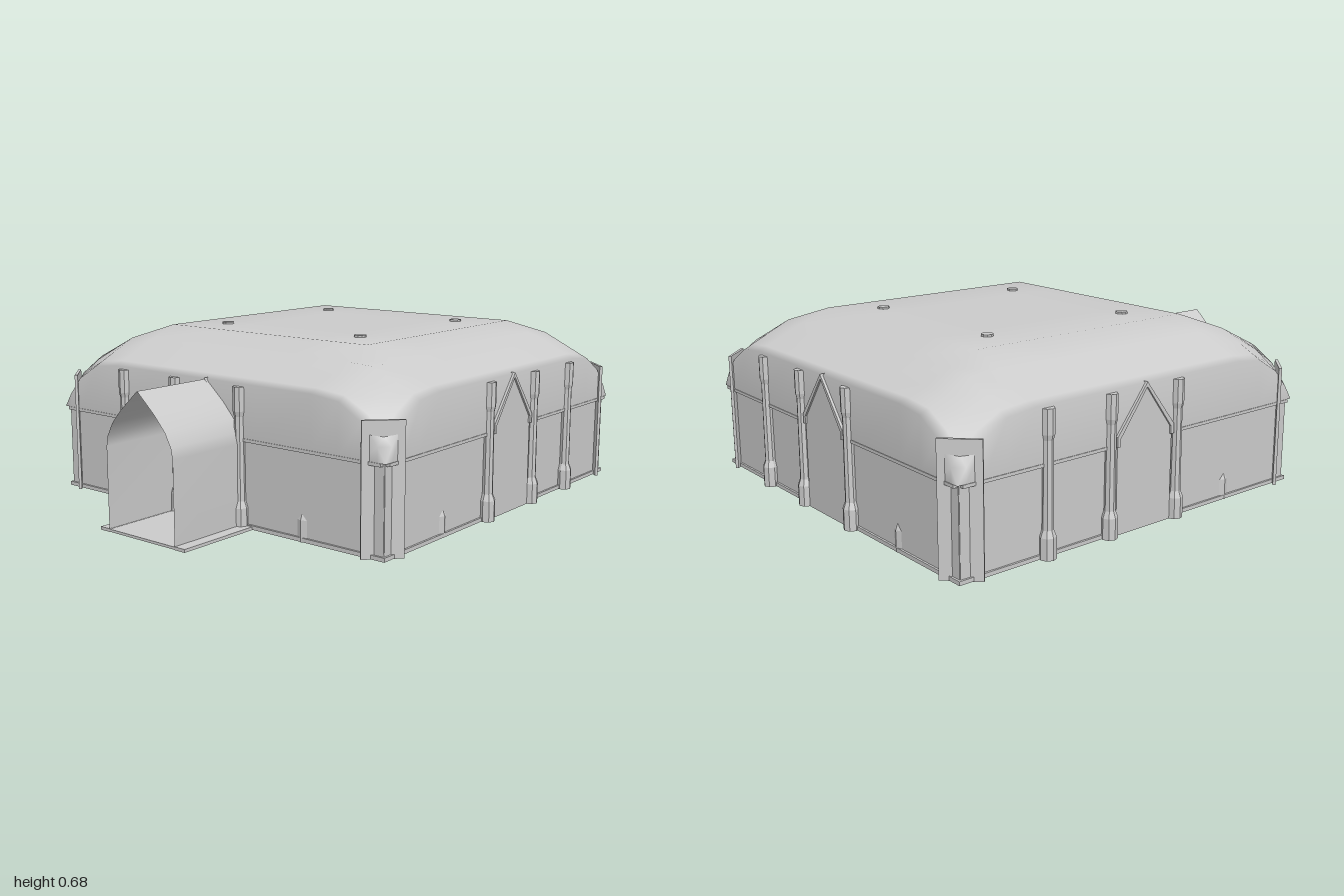
import * as THREE from 'three';
import { mergeVertices } from 'three/addons/utils/BufferGeometryUtils.js';

const smooth = new THREE.MeshStandardMaterial({ color: 0xcccccc, side: THREE.DoubleSide });
const flat = new THREE.MeshStandardMaterial({ color: 0xcccccc, side: THREE.DoubleSide, flatShading: true });

function add(parent, name, geometry, material = flat, x = 0, y = 0, z = 0) {
  const mesh = new THREE.Mesh(geometry, material);
  mesh.name = name;
  mesh.position.set(x, y, z);
  parent.add(mesh);
  return mesh;
}

const R = 0.82;      // half width of the hall
const EAVE = 0.34;   // height where the vault starts

// Square vault: flat crown, sloping sides, arched wall heads and dropped corners
function vaultGeometry() {
  const steps = [0, 0.25, 0.5, 0.62, 0.72, 0.785, R];
  const coords = [...steps.slice(1).reverse().map(v => -v), ...steps];
  const slope = u => Math.max(0, (u - 0.51) / (R - 0.51));
  const height = (x, z) => {
    const a = slope(Math.abs(x)), b = slope(Math.abs(z));
    const lo = Math.min(a, b), hi = Math.max(a, b);
    return 0.675 - 0.135 * hi - 0.2 * hi * Math.pow(lo, 2.6);
  };
  const pos = [], quad = (a, b, c, d) => pos.push(...a, ...b, ...c, ...a, ...c, ...d);
  const top = (x, z) => [x, height(x, z), z];
  const n = coords.length - 1;
  for (let i = 0; i < n; i++) {
    const p = coords[i], q = coords[i + 1];
    for (let j = 0; j < n; j++) {
      const s = coords[j], t = coords[j + 1];
      quad(top(p, s), top(p, t), top(q, t), top(q, s));
    }
    // upright wall heads below the arched edge
    quad([p, EAVE, R], [q, EAVE, R], top(q, R), top(p, R));
    quad([q, EAVE, -R], [p, EAVE, -R], top(p, -R), top(q, -R));
    quad([R, EAVE, q], [R, EAVE, p], top(R, p), top(R, q));
    quad([-R, EAVE, p], [-R, EAVE, q], top(-R, q), top(-R, p));
  }
  const g = new THREE.BufferGeometry();
  g.setAttribute('position', new THREE.Float32BufferAttribute(pos, 3));
  const merged = mergeVertices(g, 1e-4);
  merged.computeVertexNormals();
  return merged;
}

// Column with a flared base and a slightly wider head
function columnGeometry() {
  const profile = [[0, 0], [0.031, 0], [0.031, 0.08], [0.021, 0.105], [0.019, 0.42], [0.024, 0.44], [0.024, 0.53], [0, 0.53]];
  return new THREE.LatheGeometry(profile.map(p => new THREE.Vector2(...p)), 8);
}

function extrude(points, depth) {
  const shape = new THREE.Shape(points.map(p => new THREE.Vector2(...p)));
  return new THREE.ExtrudeGeometry(shape, { depth, bevelEnabled: false });
}

// One side of the hall, facing +z; sunk is the column buried in the wall
function side(sunk) {
  const g = new THREE.Group();
  g.name = 'wallSide';
  for (const x of [-0.45, -0.165, 0.165, 0.45]) {
    add(g, 'column', columnGeometry(), flat, x, 0, x === sunk ? 0.785 : R);
  }
  add(g, 'gablePanel', extrude([[-0.135, 0], [0.135, 0], [0.135, 0.36], [0, 0.535], [-0.135, 0.36]], 0.012), flat, 0, 0, 0.811);
  for (const s of [-1, 1]) {
    const trim = [[0, 0.545], [s * 0.14, 0.367], [s * 0.14, 0.33], [s * 0.125, 0.33], [s * 0.125, 0.36], [0, 0.527]];
    add(g, 'gableTrim', extrude(trim, 0.02), flat, 0, 0, 0.81);
  }
  add(g, 'ledge', new THREE.BoxGeometry(1.6, 0.012, 0.025), flat, 0, EAVE - 0.006, 0.81);
  return g;
}

export function createModel() {
  const model = new THREE.Group();
  model.name = 'vaultedHall';
  const hall = new THREE.Group();
  hall.name = 'hall';
  hall.position.x = 0.16;
  model.add(hall);

  add(hall, 'vault', vaultGeometry(), smooth);

  // Walls and floor
  for (let i = 0; i < 4; i++) {
    const turn = new THREE.Group();
    turn.name = 'wall';
    turn.rotation.y = i * Math.PI / 2;
    hall.add(turn);
    add(turn, 'wallPanel', new THREE.BoxGeometry(1.61, EAVE, 0.01), flat, 0, EAVE / 2, 0.802);
    // diagonal corner panel
    const corner = add(turn, 'cornerPanel', new THREE.BoxGeometry(0.15, 0.48, 0.012), flat, 0.782, 0.24, 0.782);
    corner.rotation.y = Math.PI / 4;
  }
  add(hall, 'floor', new THREE.BoxGeometry(1.63, 0.015, 1.63), flat, 0, 0.0085, 0);

  // Columns and gables: front and back mirrored, then left and right
  const turns = [[0, -0.45], [Math.PI, 0.45], [Math.PI / 2, 0.45], [-Math.PI / 2, 0.45]];
  for (const [angle, sunk] of turns) {
    const s = side(sunk);
    s.rotation.y = angle;
    hall.add(s);
  }

  // Small round bosses on crown and floor
  for (const x of [-0.335, 0.335]) {
    for (const z of [-0.345, 0.345]) {
      add(hall, 'crownBoss', new THREE.CylinderGeometry(0.024, 0.024, 0.012, 10), flat, x, 0.677, z);
      add(hall, 'floorBoss', new THREE.CylinderGeometry(0.026, 0.026, 0.01, 10), flat, x, 0.005, z);
    }
  }

  // Side passage with a pointed vault, open at its end
  const passage = new THREE.Group();
  passage.name = 'passage';
  model.add(passage);
  const half = [[0.17, 0], [0.17, 0.32], [0.162, 0.36], [0.135, 0.41], [0.085, 0.465], [0, 0.54]];
  const x0 = -1, x1 = -0.645;
  for (const s of [-1, 1]) {
    const pos = [], index = [];
    half.forEach(([z, y], i) => {
      pos.push(x0, y, s * z, x1, y, s * z);
      const k = 2 * (i - 1);
      if (i > 0) index.push(...(s > 0 ? [k, k + 1, k + 3, k, k + 3, k + 2] : [k, k + 3, k + 1, k, k + 2, k + 3]));
    });
    const g = new THREE.BufferGeometry();
    g.setAttribute('position', new THREE.Float32BufferAttribute(pos, 3));
    g.setIndex(index);
    g.computeVertexNormals();
    add(passage, 'passageShell', g, smooth);
    add(passage, 'passageKerb', new THREE.BoxGeometry(x1 - x0, 0.012, 0.05), flat, (x0 + x1) / 2, 0.006, s * 0.193);
  }
  add(passage, 'passageFloor', new THREE.BoxGeometry(x1 - x0, 0.01, 0.35), flat, (x0 + x1) / 2, 0.006, 0);

  return model;
}
